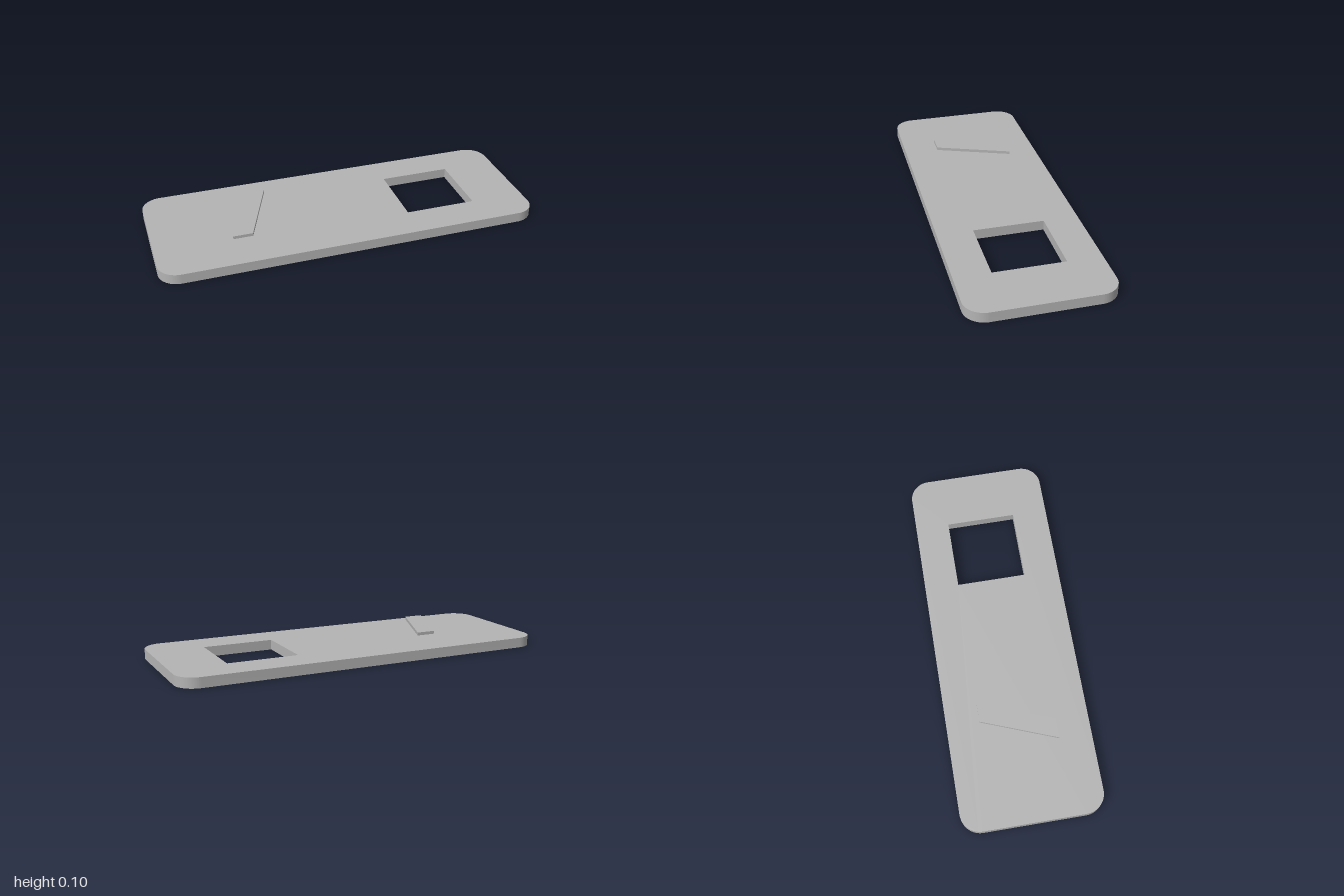
import * as THREE from 'three';
import { toCreasedNormals } from 'three/addons/utils/BufferGeometryUtils.js';

const grey = new THREE.MeshStandardMaterial({ color: 0xb4b4b4 });
grey.name = 'grey';

// Extrude an outline given in (x, -z) upwards from height y
function slab(name, shape, y, height) {
  const extruded = new THREE.ExtrudeGeometry(shape, { depth: height, bevelEnabled: false, curveSegments: 16 });
  const geometry = toCreasedNormals(extruded, Math.PI / 6);
  geometry.rotateX(-Math.PI / 2).translate(0, y, 0);
  const mesh = new THREE.Mesh(geometry, grey);
  mesh.name = name;
  return mesh;
}

// Rectangle with quarter-circle corners, centred on the origin
function roundedRect(w, d, r) {
  const s = new THREE.Shape();
  s.absarc(w - r, d - r, r, 0, Math.PI / 2);
  s.absarc(r - w, d - r, r, Math.PI / 2, Math.PI);
  s.absarc(r - w, r - d, r, Math.PI, Math.PI * 1.5);
  s.absarc(w - r, r - d, r, Math.PI * 1.5, Math.PI * 2);
  s.closePath();
  return s;
}

const points = (list) => list.map(([x, z]) => new THREE.Vector2(x, -z));

export function createModel() {
  const model = new THREE.Group();
  model.name = 'switchPlate';

  // Base plate with a square window cut through it
  const outline = roundedRect(1, 0.368, 0.105);
  outline.holes.push(new THREE.Path(points([[0.338, -0.187], [0.712, -0.187], [0.712, 0.182], [0.338, 0.182]])));
  model.add(slab('plate', outline, 0, 0.053));

  // Slanted bar held just above the plate
  const bar = new THREE.Shape(points([[-0.605, 0.195], [-0.503, 0.195], [-0.353, -0.195], [-0.455, -0.195]]));
  model.add(slab('slantedBar', bar, 0.085, 0.016));

  return model;
}
